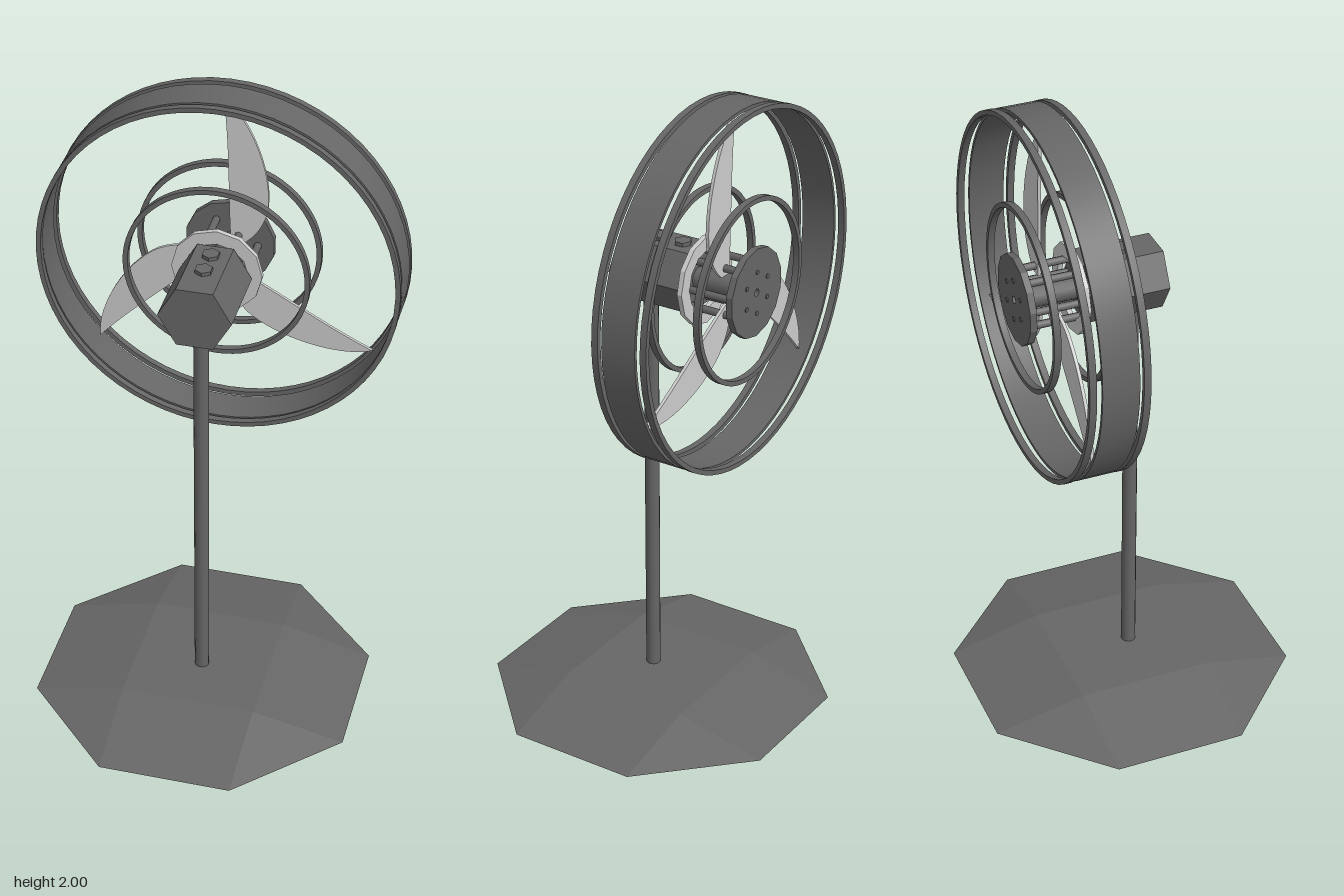
import * as THREE from 'three';
import { toCreasedNormals } from 'three/addons/utils/BufferGeometryUtils.js';
import { ConvexGeometry } from 'three/addons/geometries/ConvexGeometry.js';

const dark = new THREE.MeshStandardMaterial({ color: 0x666666 });
const darkFlat = new THREE.MeshStandardMaterial({ color: 0x666666, flatShading: true });
const light = new THREE.MeshStandardMaterial({ color: 0xcccccc });

function add(parent, name, geometry, material) {
  const mesh = new THREE.Mesh(geometry, material);
  mesh.name = name;
  parent.add(mesh);
  return mesh;
}

// Ring of rectangular section around the fan axis (local z)
function ring(inner, outer, z0, z1, sides = 64) {
  const profile = [[inner, z0], [outer, z0], [outer, z1], [inner, z1], [inner, z0]]
    .map(([r, z]) => new THREE.Vector2(r, z));
  const geometry = new THREE.LatheGeometry(profile, sides).rotateX(Math.PI / 2);
  return toCreasedNormals(geometry, 0.4);
}

// Solid cylinder along the fan axis
function drum(radius, z0, z1, sides, start = 0) {
  return new THREE.CylinderGeometry(radius, radius, z1 - z0, sides, 1, false, start)
    .rotateX(Math.PI / 2).translate(0, 0, (z0 + z1) / 2);
}

// Crescent blade pointing up, with one nearly straight edge
function bladeGeometry() {
  const shape = new THREE.Shape();
  shape.moveTo(-0.02, 0.05);
  shape.bezierCurveTo(-0.01, 0.2, -0.015, 0.38, 0.004, 0.53);
  shape.bezierCurveTo(-0.08, 0.47, -0.15, 0.28, -0.128, 0.16);
  shape.quadraticCurveTo(-0.11, 0.09, -0.06, 0.05);
  shape.closePath();
  return new THREE.ExtrudeGeometry(shape, { depth: 0.01, bevelEnabled: false, curveSegments: 16 })
    .translate(0, 0, 0.162);
}

export function createModel() {
  const model = new THREE.Group();
  model.name = 'pedestalFan';

  // Foot: octagon below, a square turned to its corners on top
  const points = [];
  for (let i = 0; i < 8; i++) {
    const a = (i + 0.5) * Math.PI / 4;
    points.push(new THREE.Vector3(Math.cos(a) * 0.541, 0, Math.sin(a) * 0.541));
  }
  for (let i = 0; i < 4; i++) {
    const a = i * Math.PI / 2;
    points.push(new THREE.Vector3(Math.cos(a) * 0.3, 0.067, Math.sin(a) * 0.3));
  }
  add(model, 'foot', new ConvexGeometry(points), darkFlat).position.set(-0.06, 0, 0.06);

  // Pole
  add(model, 'pole', new THREE.CylinderGeometry(0.023, 0.023, 1.36, 12), dark)
    .position.set(-0.08, 0.72, 0.08);

  // Fan head, local z is the fan axis
  const head = new THREE.Group();
  head.name = 'fanHead';
  head.position.y = 1.45;
  head.rotation.y = Math.PI * 0.75;
  model.add(head);

  // Motor housing with two knobs on top
  add(head, 'motorHousing', drum(0.11, -0.19, 0.055, 6, Math.PI / 6), darkFlat);
  for (const z of [-0.082, 0]) {
    add(head, 'motorKnob', new THREE.CylinderGeometry(0.027, 0.027, 0.03, 6), darkFlat)
      .position.set(0, 0.092, z);
  }

  // Hub: plate, shaft, spacer rods and end disc
  add(head, 'hubPlate', ring(0.095, 0.138, 0.068, 0.084, 12), light);
  add(head, 'shaft', drum(0.035, 0.05, 0.24, 12), dark);
  for (let i = 0; i < 6; i++) {
    const a = i * Math.PI / 3;
    add(head, 'spacerRod', drum(0.012, 0.05, 0.24, 8), dark)
      .position.set(Math.cos(a) * 0.085, Math.sin(a) * 0.085, 0);
  }
  add(head, 'endDisc', ring(0.012, 0.138, 0.233, 0.254, 14), darkFlat);
  for (let i = 0; i < 6; i++) {
    const a = (i + 0.5) * Math.PI / 3;
    add(head, 'discBolt', drum(0.008, 0.25, 0.257, 6), dark)
      .position.set(Math.cos(a) * 0.065, Math.sin(a) * 0.065, 0);
  }

  // Blades
  const blade = bladeGeometry();
  for (const degrees of [0, 121, -132]) {
    add(head, 'blade', blade, light).rotation.z = THREE.MathUtils.degToRad(degrees);
  }

  // Duct with guard rings on both sides
  add(head, 'duct', ring(0.54, 0.55, 0.088, 0.199), dark);
  for (const z of [0.055, 0.216]) {
    add(head, 'outerGuardRing', ring(0.536, 0.551, z, z + 0.021), dark);
    add(head, 'innerGuardRing', ring(0.268, 0.283, z, z + 0.021), dark);
  }
  return model;
}
